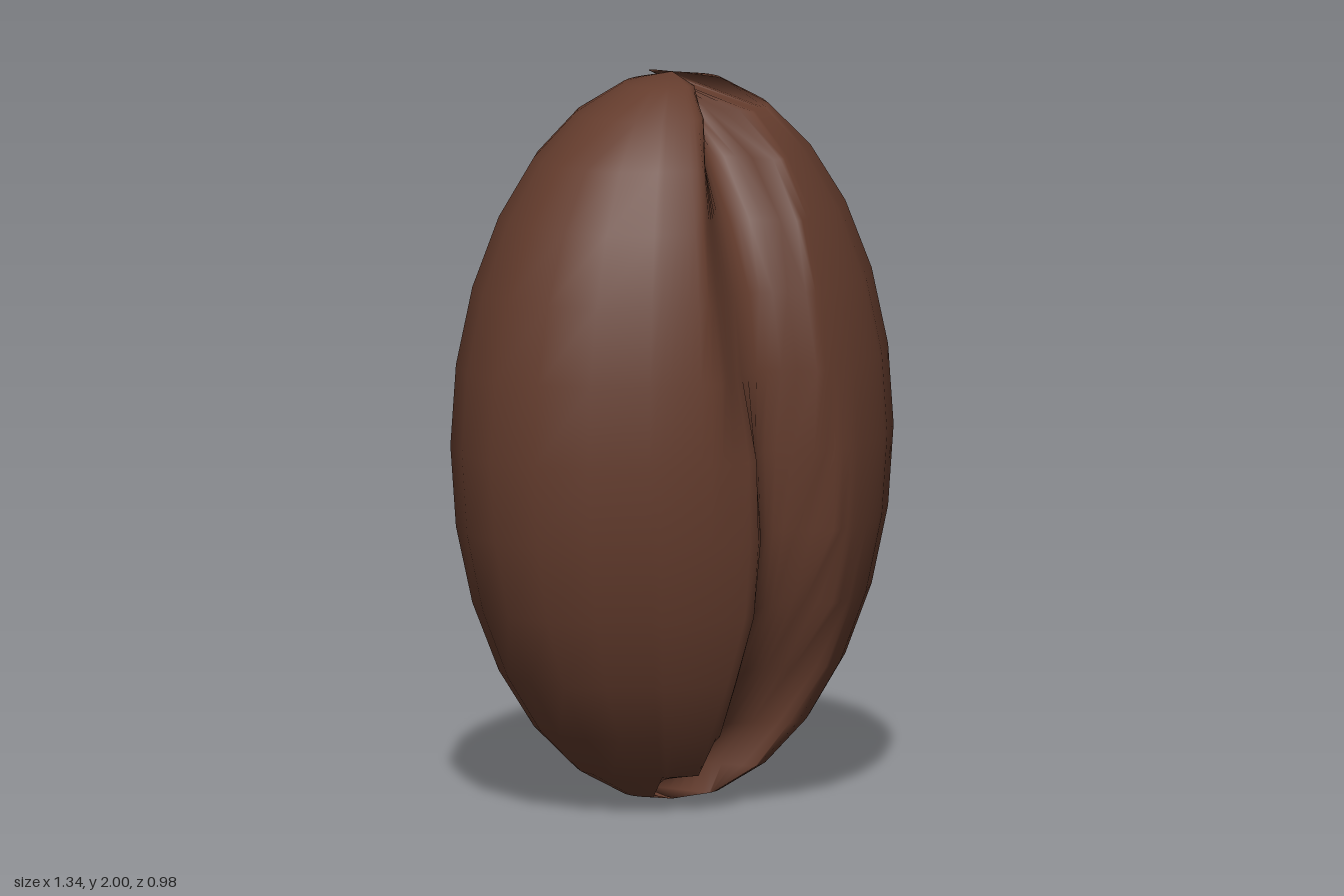
import * as THREE from 'three';

const ROWS = 14, STEP = (Math.PI * 2) / 22;

// Groove per row, pole to pole: left edge, right edge and depth
const LEFT = [0, -0.02, -0.08, -0.16, -0.22, -0.25, -0.24, -0.13, -0.11, -0.11, -0.11, -0.10, -0.09, -0.10, 0];
const RIGHT = [0, 0.12, 0.10, 0.10, 0.09, 0.09, 0.09, 0.10, 0.15, 0.20, 0.23, 0.20, 0.12, 0.03, 0];
const DEPTH = [0, 0.27, 0.20, 0.17, 0.14, 0.12, 0.11, 0.11, 0.11, 0.12, 0.14, 0.16, 0.20, 0.29, 0];

function grooveDepth(x, row) {
  const u = (x - LEFT[row]) / (RIGHT[row] - LEFT[row]);
  if (!(u > 0 && u < 1)) return 0;
  // steep wall on one side above, on the other side below
  const skew = THREE.MathUtils.lerp(1.8, 0.6, row / ROWS);
  return DEPTH[row] * Math.pow(Math.sin(Math.PI * Math.pow(u, skew)), 0.8);
}

// Column angles around y (0 = front): fine across the groove, coarse elsewhere
function columnAngles() {
  const angles = [];
  for (let k = 0; k < 22; k++) {
    const a = (k - 10.5) * STEP;
    const parts = a > -2.6 * STEP && a < 2.4 * STEP ? 6 : 1;
    for (let j = 0; j < parts; j++) angles.push(a + (j / parts) * STEP);
  }
  return angles;
}

function beanGeometry() {
  const angles = columnAngles(), n = angles.length;
  const positions = [0, 2, 0.015], indices = [];
  for (let i = 1; i < ROWS; i++) {
    const t = (i / ROWS) * Math.PI, r = Math.sin(t);
    for (const a of angles) {
      const x = 0.67 * r * Math.sin(a);
      let z = 0.015 + 0.51 * r * Math.cos(a);
      if (Math.cos(a) > 0) z = Math.min(z, 0.495) - grooveDepth(x, i);
      positions.push(x, 1 + Math.cos(t), z);
    }
  }
  const last = positions.length / 3;
  positions.push(0, 0, 0.015);

  // pole fans and wrapped bands
  const at = (i, j) => 1 + (i - 1) * n + (j % n);
  for (let j = 0; j < n; j++) {
    indices.push(0, at(1, j), at(1, j + 1));
    indices.push(last, at(ROWS - 1, j + 1), at(ROWS - 1, j));
    for (let i = 1; i < ROWS - 1; i++) {
      const a = at(i, j), b = at(i + 1, j), c = at(i + 1, j + 1), d = at(i, j + 1);
      indices.push(a, b, d, b, c, d);
    }
  }
  const geometry = new THREE.BufferGeometry();
  geometry.setAttribute('position', new THREE.Float32BufferAttribute(positions, 3));
  geometry.setIndex(indices);
  geometry.computeVertexNormals();
  return geometry;
}

export function createModel() {
  const group = new THREE.Group();
  group.name = 'coffeeBean';
  const material = new THREE.MeshStandardMaterial({ color: 0x643c2d, side: THREE.DoubleSide });
  const bean = new THREE.Mesh(beanGeometry(), material);
  bean.name = 'groovedBean';
  group.add(bean);
  return group;
}
